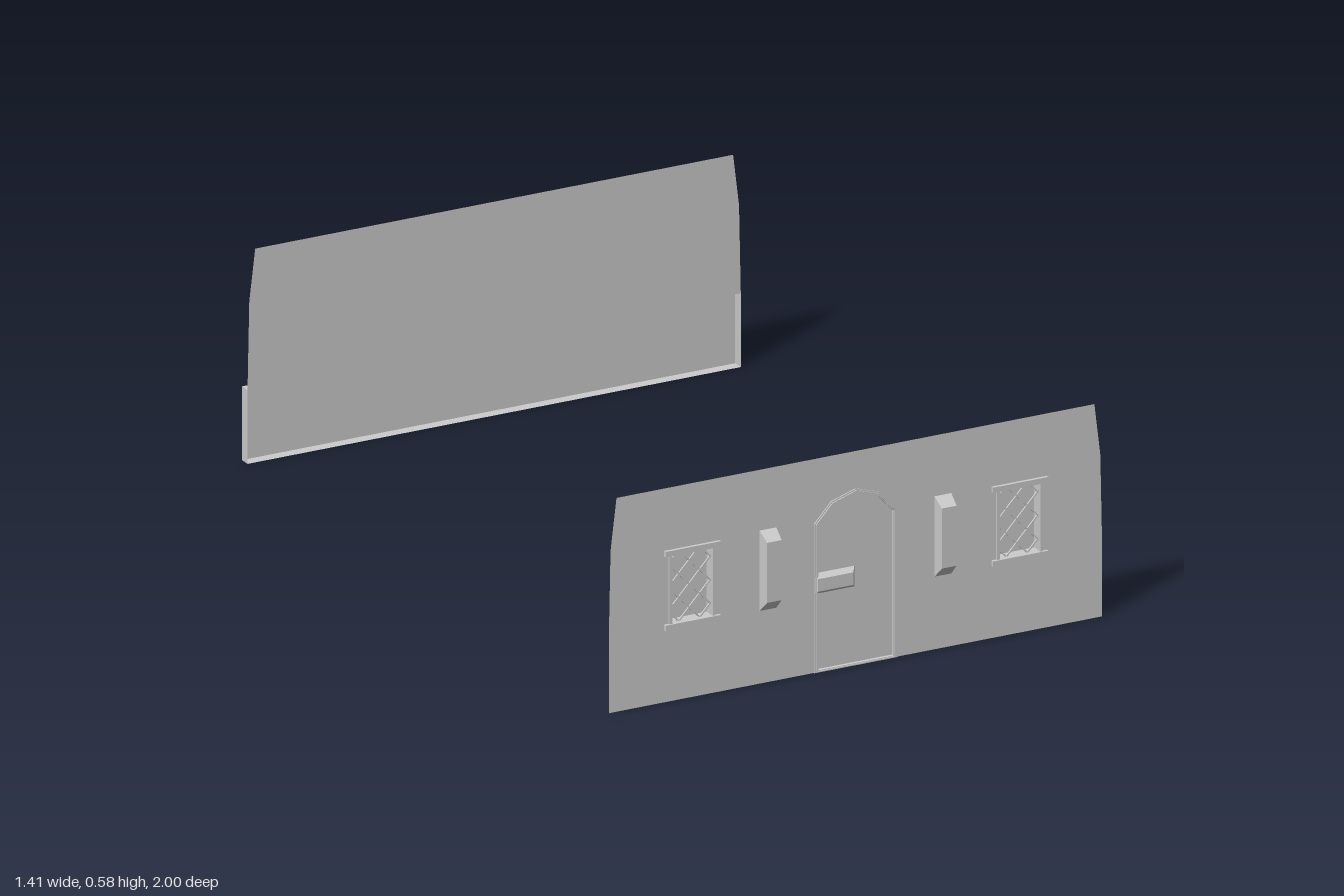
import * as THREE from 'three';

const material = new THREE.MeshStandardMaterial({ color: 0xcccccc, flatShading: true, side: THREE.DoubleSide });
const WALL_Z = 0.966;
const BACK_Z = -0.97;

const toVectors = (pts) => pts.map(([x, y]) => new THREE.Vector2(x, y));
const rect = (x0, y0, x1, y1) => [[x0, y0], [x1, y0], [x1, y1], [x0, y1]];

function add(parent, name, geometry, x = 0, y = 0, z = 0) {
  const mesh = new THREE.Mesh(geometry, material);
  mesh.name = name;
  mesh.position.set(x, y, z);
  parent.add(mesh);
  return mesh;
}

function makeShape(outline, holes = []) {
  const shape = new THREE.Shape(toVectors(outline));
  holes.forEach((h) => shape.holes.push(new THREE.Path(toVectors(h))));
  return shape;
}

// Open-ended shell: sides run from outline a to outline b, closed by a cap at b
function addShell(parent, name, a, za, b, zb) {
  const group = new THREE.Group();
  group.name = name;
  const v = [];
  a.forEach((p, i) => {
    const j = (i + 1) % a.length;
    const p0 = [...p, za], p1 = [...a[j], za], q0 = [...b[i], zb], q1 = [...b[j], zb];
    const quad = zb > za ? [p0, p1, q1, p0, q1, q0] : [p0, q1, p1, p0, q0, q1];
    quad.forEach((c) => v.push(...c));
  });
  const sides = new THREE.BufferGeometry();
  sides.setAttribute('position', new THREE.Float32BufferAttribute(v, 3));
  sides.computeVertexNormals();
  add(group, name + 'Sides', sides);
  const cap = new THREE.ShapeGeometry(makeShape(b));
  if (zb < za) cap.index.array.reverse();
  cap.computeVertexNormals();
  add(group, name + 'Cap', cap, 0, 0, zb);
  parent.add(group);
}

// Half of the tapering wall edge and of the door arch, bottom to top
const wallEdge = [[0.705, 0], [0.705, 0.2], [0.7, 0.44], [0.683, 0.58]];
const mirror = (pts) => pts.map(([x, y]) => [-x, y]).reverse();
const archHalf = (inset) => [[0.119 - inset, 0], [0.119 - inset, 0.404 - inset * 0.4], [0.07 - inset * 0.5, 0.457 - inset * 0.9]];
const arch = (inset, bottom) => {
  const half = archHalf(inset);
  half[0][1] = bottom;
  return [...half, [0, 0.479 - inset], ...mirror(half)];
};

// Shapes that repeat on both sides of the door
const windowOutline = (s) => rect(s * 0.468 - 0.061, 0.208, s * 0.468 + 0.061, 0.398);
const pillarBase = (s) => rect(s * 0.25 - 0.024, 0.197, s * 0.25 + 0.024, 0.415);
const pillarFace = (s) => rect(s * 0.25 - 0.021, 0.23, s * 0.25 + 0.021, 0.393);

// Diagonal lattice that reaches a little past the window opening
function addLattice(parent) {
  const cols = 3, rows = 4, cw = 0.06, ch = 0.064;
  const lattice = new THREE.Group();
  lattice.name = 'windowLattice';
  lattice.position.set(0, 0.303, 0.952);
  for (const dir of [1, -1]) {
    for (let k = 0.5; k < cols + rows; k++) {
      const u0 = Math.max(0, k - rows), u1 = Math.min(cols, k);
      const a = new THREE.Vector2(dir * (u0 - cols / 2) * cw, (k - u0 - rows / 2) * ch);
      const b = new THREE.Vector2(dir * (u1 - cols / 2) * cw, (k - u1 - rows / 2) * ch);
      const bar = add(lattice, 'latticeBar', new THREE.BoxGeometry(a.distanceTo(b), 0.004, 0.004),
        (a.x + b.x) / 2, (a.y + b.y) / 2, 0);
      bar.rotation.z = Math.atan2(b.y - a.y, b.x - a.x);
    }
  }
  parent.add(lattice);
}

function addWindow(parent, s) {
  const group = new THREE.Group();
  group.name = s > 0 ? 'leftWindow' : 'rightWindow';
  addShell(group, 'windowRecess', windowOutline(s), WALL_Z, windowOutline(s), 0.931);
  const frame = new THREE.Group();
  frame.name = 'windowFrame';
  frame.position.x = s * 0.468;
  add(frame, 'lintel', new THREE.BoxGeometry(0.158, 0.015, 0.012), 0, 0.4035, 0.969);
  add(frame, 'sill', new THREE.BoxGeometry(0.158, 0.015, 0.012), 0, 0.2035, 0.969);
  for (const side of [1, -1]) {
    add(frame, 'jamb', new THREE.BoxGeometry(0.008, 0.186, 0.008), side * 0.062, 0.303, 0.967);
  }
  addLattice(frame);
  group.add(frame);
  parent.add(group);
}

function addDoor(parent) {
  const door = new THREE.Group();
  door.name = 'door';
  add(door, 'doorBody', new THREE.ExtrudeGeometry(makeShape(arch(0, 0)), { depth: 0.04, bevelEnabled: false }), 0, 0, 0.92);
  // Stepped frame: wide low ring with a narrower raised one on it
  const ring = (i0, i1, depth) => new THREE.ExtrudeGeometry(
    makeShape(arch(i0, i0 * 0.5), [arch(i1, i1 * 0.5)]), { depth, bevelEnabled: false });
  add(door, 'outerFrame', ring(0, 0.012, 0.009), 0, 0, 0.96);
  add(door, 'innerFrame', ring(0.004, 0.009, 0.003), 0, 0, 0.969);
  addShell(door, 'latchPlate', rect(-0.12, 0.211, 0, 0.267), 0.96, rect(-0.112, 0.222, -0.011, 0.256), 0.975);
  parent.add(door);
}

export function createModel() {
  const model = new THREE.Group();
  model.name = 'facadeWalls';

  // Front wall with openings and a notch for the door
  const outline = [...wallEdge, ...mirror(wallEdge), ...arch(0, 0).reverse()];
  const holes = [1, -1].flatMap((s) => [windowOutline(s), pillarBase(s)]);
  add(model, 'frontWall', new THREE.ShapeGeometry(makeShape(outline, holes)), 0, 0, WALL_Z);
  addDoor(model);
  for (const s of [1, -1]) {
    addWindow(model, s);
    addShell(model, s > 0 ? 'leftPillar' : 'rightPillar', pillarBase(s), WALL_Z, pillarFace(s), 1);
  }

  // Back wall whose lower part steps outwards
  const upper = wallEdge.slice(1);
  add(model, 'backWall', new THREE.ShapeGeometry(makeShape([...upper, ...mirror(upper)])), 0, 0, BACK_Z);
  const plinth = rect(-0.705, 0, 0.705, 0.2);
  addShell(model, 'backPlinth', plinth, BACK_Z, plinth, -1);
  return model;
}
